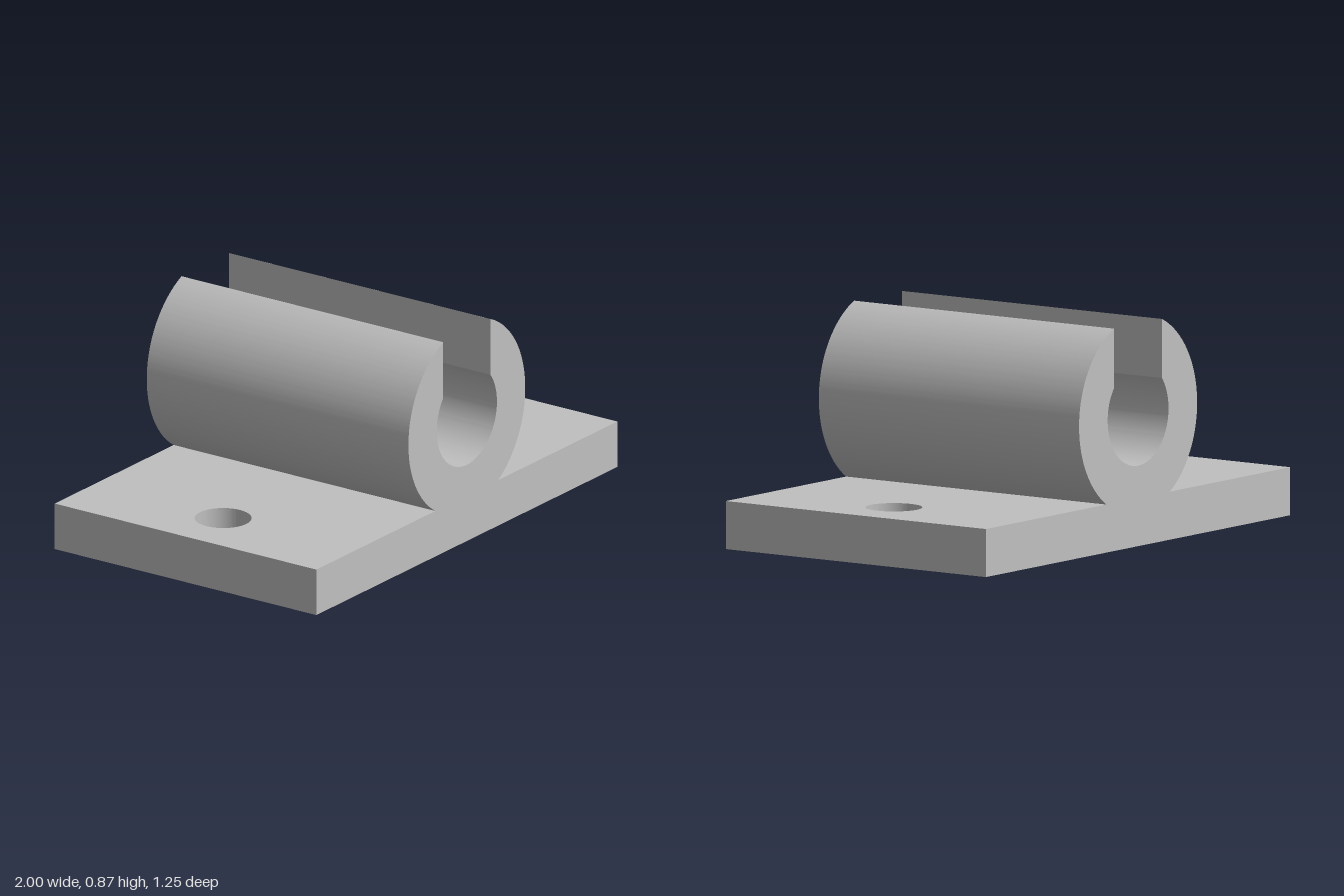
import * as THREE from 'three';
import { toCreasedNormals } from 'three/addons/utils/BufferGeometryUtils.js';

const DEPTH = 1.245;      // length along z
const PLATE_H = 0.188;    // base plate thickness
const AXIS_Y = 0.515;     // height of the clip's axis
const R_OUT = 0.388;
const R_IN = 0.2;
const SLOT = 0.157;       // half width of the top opening

// Extrude a profile with smooth curves and sharp edges
function extrude(shape, depth) {
  const geometry = new THREE.ExtrudeGeometry(shape, { depth, bevelEnabled: false, curveSegments: 48 });
  return toCreasedNormals(geometry, Math.PI / 6);
}

export function createModel() {
  const model = new THREE.Group();
  const grey = new THREE.MeshStandardMaterial({ color: 0xc0c0c0 });
  grey.name = 'grey';

  // Flat base plate with two screw holes
  const w = 1, d = DEPTH / 2;
  const plateShape = new THREE.Shape([
    new THREE.Vector2(-w, -d), new THREE.Vector2(w, -d),
    new THREE.Vector2(w, d), new THREE.Vector2(-w, d),
  ]);
  for (const x of [-0.75, 0.75]) {
    plateShape.holes.push(new THREE.Path().absarc(x, 0, 0.11, 0, Math.PI * 2, true));
  }
  const plate = new THREE.Mesh(extrude(plateShape, PLATE_H).rotateX(-Math.PI / 2), grey);
  plate.name = 'basePlate';
  model.add(plate);

  // Open C-shaped clip, cut flat where it meets the plate
  const foot = Math.asin((PLATE_H - AXIS_Y) / R_OUT);
  const outerLip = Math.acos(SLOT / R_OUT);
  const innerLip = Math.acos(SLOT / R_IN);
  const clipShape = new THREE.Shape();
  clipShape.absarc(0, AXIS_Y, R_OUT, foot, outerLip, false);
  clipShape.absarc(0, AXIS_Y, R_IN, innerLip, Math.PI - innerLip, true);
  clipShape.absarc(0, AXIS_Y, R_OUT, Math.PI - outerLip, Math.PI - foot, false);
  clipShape.closePath();
  const clip = new THREE.Mesh(extrude(clipShape, DEPTH).translate(0, 0, -d), grey);
  clip.name = 'pipeClip';
  model.add(clip);

  return model;
}
